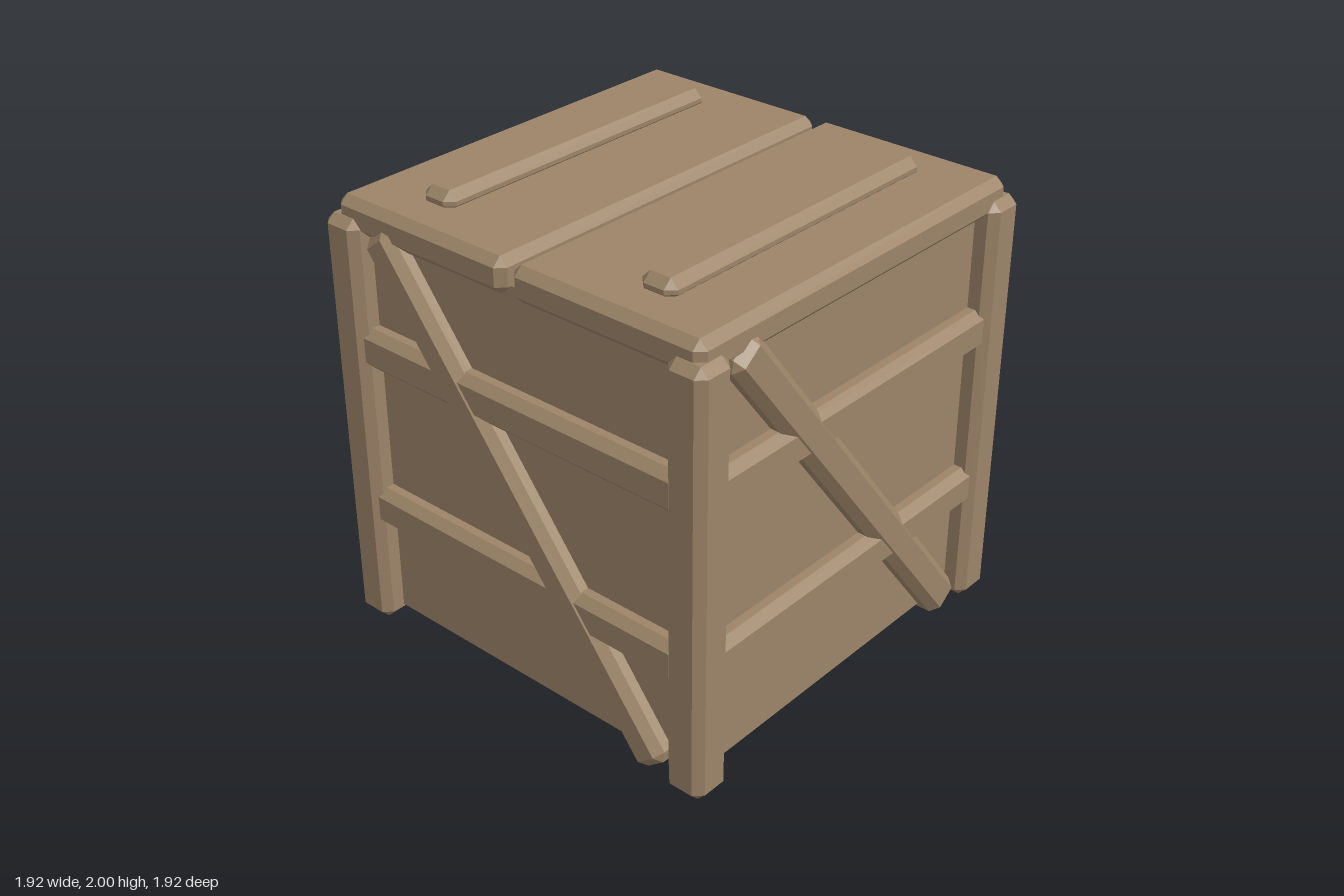
import * as THREE from 'three';
import { ConvexGeometry } from 'three/addons/geometries/ConvexGeometry.js';

const wood = new THREE.MeshStandardMaterial({ color: 0x9c8468, flatShading: true });
const CHAMFER = 0.036;

// Box with all edges chamfered: three corner points per octant, wrapped by a hull.
function plank(name, w, h, d, x, y, z, c = CHAMFER) {
  const points = [];
  for (const sx of [-0.5, 0.5]) for (const sy of [-0.5, 0.5]) for (const sz of [-0.5, 0.5]) {
    const iw = w - 2 * c, ih = h - 2 * c, id = d - 2 * c;
    points.push(
      new THREE.Vector3(sx * w, sy * ih, sz * id),
      new THREE.Vector3(sx * iw, sy * h, sz * id),
      new THREE.Vector3(sx * iw, sy * ih, sz * d));
  }
  const mesh = new THREE.Mesh(new ConvexGeometry(points), wood);
  mesh.name = name;
  mesh.position.set(x, y, z);
  return mesh;
}

// One side of the crate, built facing +z: corner post, two rails and a diagonal brace.
function createSide(name) {
  const side = new THREE.Group();
  side.name = name;
  side.add(plank('cornerPost', 0.18, 1.858, 0.18, 0.87, 0.934, 0.87));
  for (const y of [0.57, 1.31]) side.add(plank('rail', 1.66, 0.18, 0.16, 0, y, 0.86));
  const brace = plank('diagonalBrace', 2.28, 0.17, 0.16, 0, 0.936, 0.866);
  brace.rotation.z = -THREE.MathUtils.degToRad(52);
  side.add(brace);
  return side;
}

export function createModel() {
  const crate = new THREE.Group();
  crate.name = 'crate';
  crate.add(plank('body', 1.735, 1.845, 1.735, 0, 0.9375, 0));

  // Four identical sides, a quarter turn apart
  ['frontSide', 'leftSide', 'backSide', 'rightSide'].forEach((name, i) => {
    const side = createSide(name);
    side.rotation.y = i * Math.PI / 2;
    crate.add(side);
  });

  // Two lid halves, each with a raised slat
  for (const s of [1, -1]) {
    const lid = new THREE.Group();
    lid.name = s > 0 ? 'frontLid' : 'backLid';
    lid.add(plank('lidBoard', 1.84, 0.15, 0.902, 0, 1.864, s * 0.469));
    lid.add(plank('lidSlat', 1.48, 0.09, 0.165, 0, 1.955, s * 0.552));
    crate.add(lid);
  }
  return crate;
}
